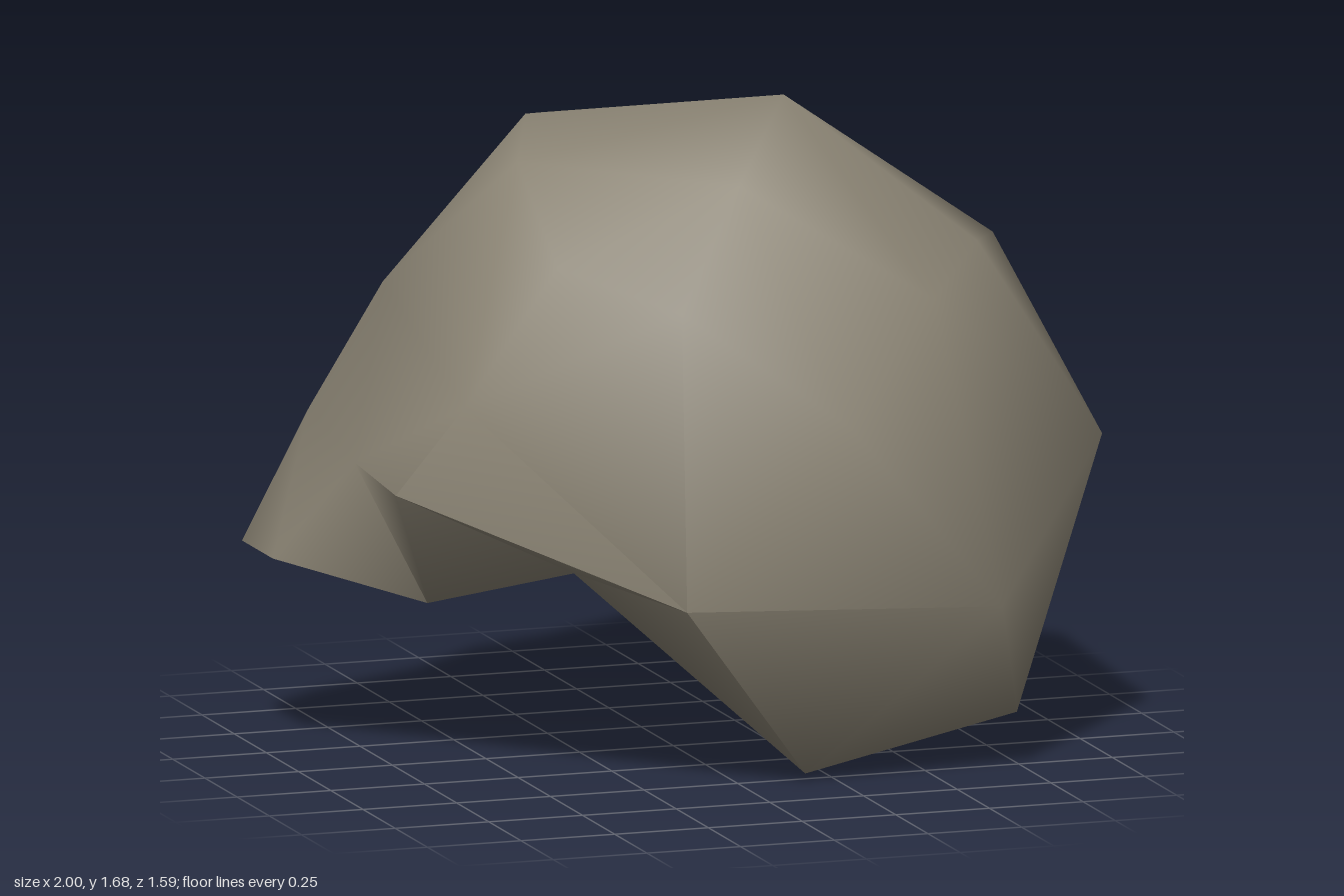
import * as THREE from 'three';
import { ConvexGeometry } from 'three/addons/geometries/ConvexGeometry.js';
import { mergeVertices, toCreasedNormals } from 'three/addons/utils/BufferGeometryUtils.js';

// Closed skin over points seen from a centre: the points are joined up on a
// sphere, then each corner is moved back out to its own place
function skin(list, centre) {
  const places = list.map((p) => new THREE.Vector3(...p));
  const directions = places.map((p) => p.clone().sub(centre).normalize());
  const hull = new ConvexGeometry(directions);
  hull.deleteAttribute('normal');
  hull.deleteAttribute('uv');
  const pos = hull.attributes.position;
  const v = new THREE.Vector3();
  for (let i = 0; i < pos.count; i++) {
    v.fromBufferAttribute(pos, i);
    const k = directions.findIndex((d) => d.distanceTo(v) < 1e-4);
    pos.setXYZ(i, places[k].x, places[k].y, places[k].z);
  }
  return toCreasedNormals(mergeVertices(hull, 1e-4), 1.1);
}

export function createModel() {
  const group = new THREE.Group();
  group.name = 'boulder';
  const stone = new THREE.MeshStandardMaterial({ color: 0x8c8575 });
  stone.name = 'warm grey stone';

  // Crown, shoulders, girdle and base of the rounded body
  const crown = [
    [0.26, 1.68, 0.1], [-0.34, 1.62, -0.16], [-0.2, 1.56, -0.44],
    [-0.46, 1.56, 0.13], [0, 1.54, 0.51], [0.37, 1.51, -0.38],
  ];
  const shoulders = [
    [0.12, 1.34, -0.62], [0.88, 1.25, -0.08], [0.68, 1.33, 0.38],
    [0.48, 1.24, 0.63], [-0.2, 1.25, 0.65], [-0.45, 1.34, 0.41],
  ];
  const girdle = [
    [-0.23, 0.94, -0.73], [-0.37, 0.74, -0.79], [0.73, 0.96, -0.4], [1, 0.82, 0.42],
    [1, 0.47, -0.11], [0.2, 0.96, 0.8], [0.61, 0.47, 0.78], [-0.2, 0.49, 0.69],
    [-0.83, 0.75, 0.26], [-0.67, 0.98, 0.33], [0.38, 0.49, -0.64],
  ];
  const base = [
    [0.17, 0.02, 0.53], [0.35, 0, 0.14], [0.5, 0.02, -0.25], [0.8, 0.1, 0.34],
  ];

  // Short stub at the back, growing smoothly from the body and cut off flat underneath
  const neck = [
    [-0.7, 1.2, -0.22], [-0.84, 0.78, -0.03], [-0.87, 0.87, -0.3], [-0.61, 0.78, -0.56],
  ];
  const rim = [
    [-1, 0.51, -0.2], [-1, 0.51, -0.44], [-0.82, 0.47, -0.61], [-0.6, 0.43, -0.61],
    [-0.46, 0.42, -0.5], [-0.17, 0.53, -0.38], [-0.31, 0.49, 0.13], [-0.67, 0.42, 0.04],
  ];

  const body = new THREE.Mesh(
    skin([...crown, ...shoulders, ...girdle, ...base, ...neck, ...rim], new THREE.Vector3(0.08, 0.85, 0.05)),
    stone,
  );
  body.name = 'bodyWithStub';
  group.add(body);
  return group;
}
